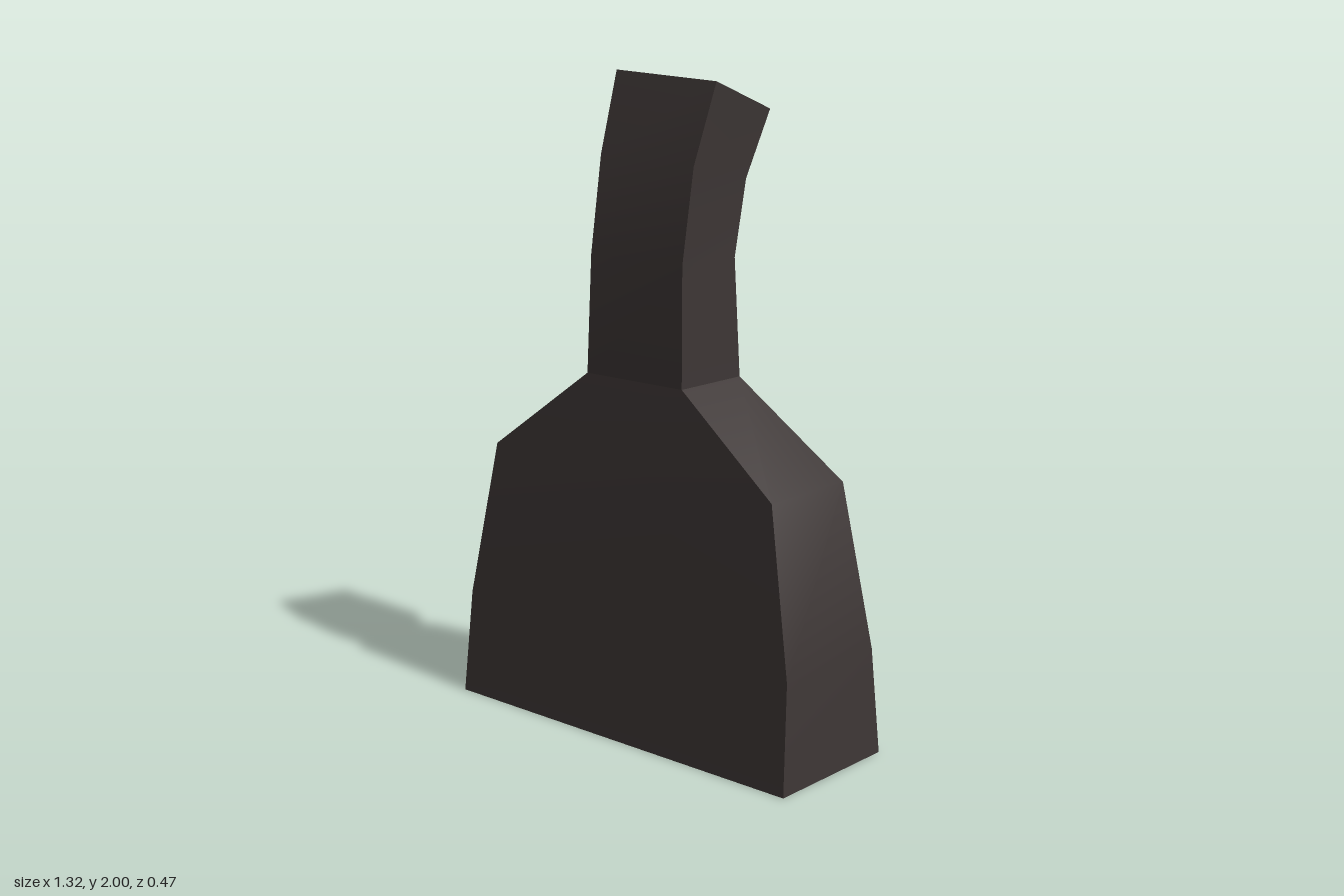
import * as THREE from 'three';
import { toCreasedNormals } from 'three/addons/utils/BufferGeometryUtils.js';

// Four corners of a level cross-section: front right, front left, back left, back right
const ring = (y, x0, x1, zf, zb) => [[x0, y, zf], [x1, y, zf], [x1, y, zb], [x0, y, zb]];

// Skin of quads through a stack of four-cornered sections, with optional end caps
function loft(rings, capBottom, capTop) {
  const pos = [];
  const quad = (a, b, c, d) => pos.push(...a, ...b, ...c, ...a, ...c, ...d);
  for (let i = 0; i < rings.length - 1; i++) {
    for (let j = 0; j < 4; j++) {
      const k = (j + 1) % 4;
      quad(rings[i][j], rings[i][k], rings[i + 1][k], rings[i + 1][j]);
    }
  }
  if (capBottom) quad(...[...rings[0]].reverse());
  if (capTop) quad(...rings[rings.length - 1]);
  const geo = new THREE.BufferGeometry();
  geo.setAttribute('position', new THREE.Float32BufferAttribute(pos, 3));
  return toCreasedNormals(geo, THREE.MathUtils.degToRad(48));
}

export function createModel() {
  const group = new THREE.Group();
  group.name = 'flaredBlock';
  const charcoal = new THREE.MeshStandardMaterial({ color: 0x3d3635 });
  charcoal.name = 'charcoal';

  const add = (name, geo) => {
    const mesh = new THREE.Mesh(geo, charcoal);
    mesh.name = name;
    group.add(mesh);
  };

  const joint = ring(1.1, -0.19, 0.188, 0.138, -0.125);

  // Wide tapering body with sloped shoulders
  add('body', loft([
    ring(0, -0.66, 0.657, 0.235, -0.225),
    ring(0.33, -0.646, 0.643, 0.207, -0.197),
    ring(0.83, -0.555, 0.552, 0.171, -0.161),
    joint,
  ], true, false));

  // Neck bending backwards, with a slightly skewed end
  add('neck', loft([
    joint,
    ring(1.46, -0.183, 0.178, 0.125, -0.11),
    [[-0.177, 1.755, 0.086], [0.186, 1.74, 0.086], [0.186, 1.69, -0.15], [-0.177, 1.7, -0.15]],
    [[-0.175, 2, 0.018], [0.21, 1.98, 0.015], [0.208, 1.89, -0.232], [-0.175, 1.91, -0.237]],
  ], false, true));

  return group;
}
